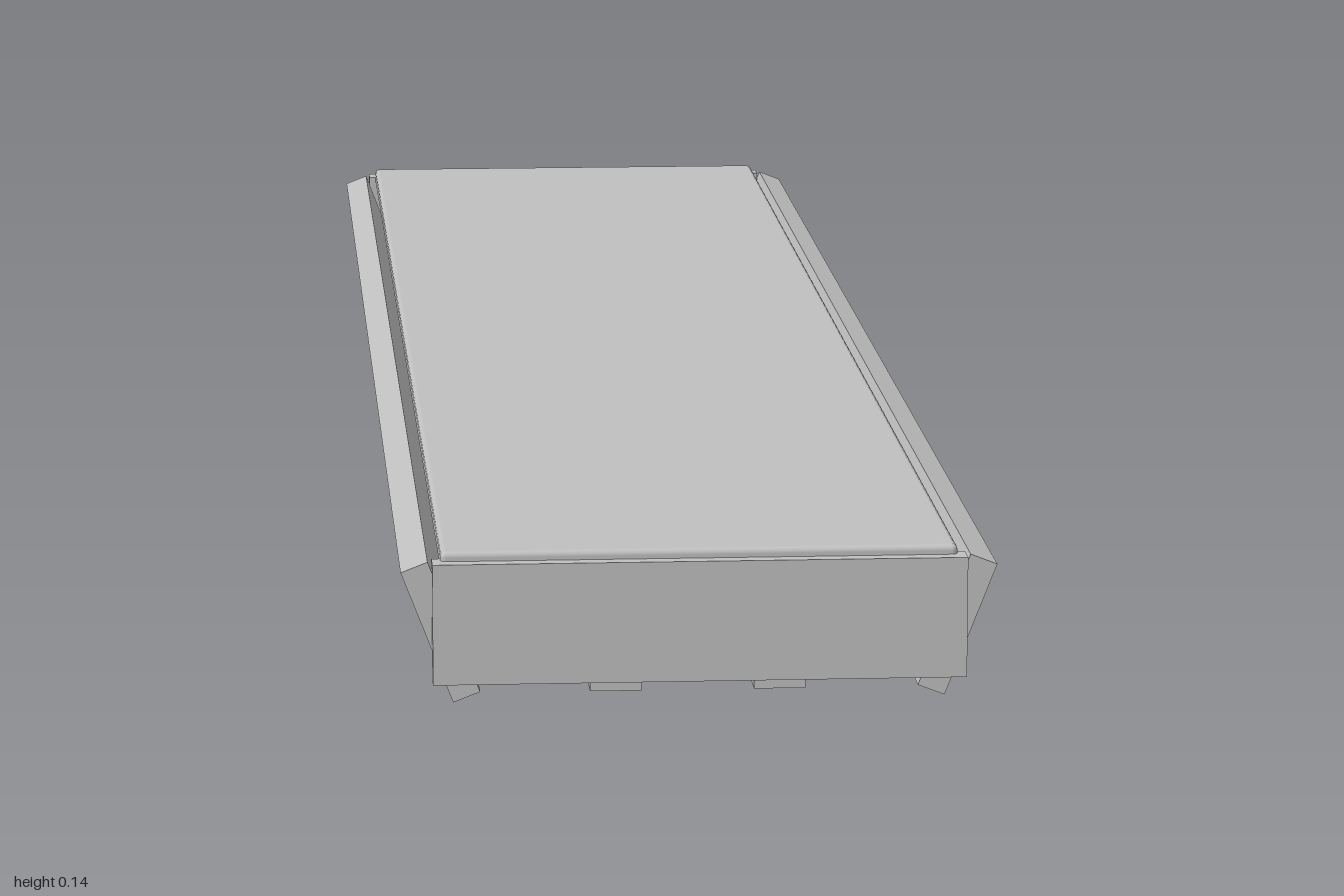
import * as THREE from 'three';
import { RoundedBoxGeometry } from 'three/addons/geometries/RoundedBoxGeometry.js';

export function createModel() {
  const model = new THREE.Group();
  model.name = 'shallowTray';
  const grey = new THREE.MeshStandardMaterial({ color: 0xc0c0c0 });
  grey.name = 'light grey';

  function add(name, geometry, x, y, z) {
    const mesh = new THREE.Mesh(geometry, grey);
    mesh.name = name;
    mesh.position.set(x, y, z);
    model.add(mesh);
    return mesh;
  }

  // Flat cover panel with softened edges
  add('topPanel', new RoundedBoxGeometry(0.43, 0.018, 1.975, 2, 0.005), 0, 0.134, 0);

  // Long side boards, leaning outwards towards the top
  for (const side of [-1, 1]) {
    const board = add(side > 0 ? 'leftBoard' : 'rightBoard',
      new THREE.BoxGeometry(0.024, 0.119, 1.975), side * 0.2152, 0.075, 0);
    board.rotation.z = -side * 0.37;
  }

  // Upright end plates, each with two small blocks on the inside
  for (const end of [-1, 1]) {
    add(end > 0 ? 'frontPlate' : 'backPlate',
      new THREE.BoxGeometry(0.444, 0.102, 0.024), 0, 0.084, end * 0.988);
    for (const x of [-0.069, 0.068]) {
      add('innerBlock', new THREE.BoxGeometry(0.043, 0.045, 0.056), x, 0.0425, end * 0.948);
    }
  }

  // Thin rods across the open underside
  for (const z of [-0.515, 0, 0.515]) {
    const rod = add('crossRod', new THREE.CylinderGeometry(0.005, 0.005, 0.412, 12), 0, 0.005, z);
    rod.rotation.z = Math.PI / 2;
  }

  return model;
}
